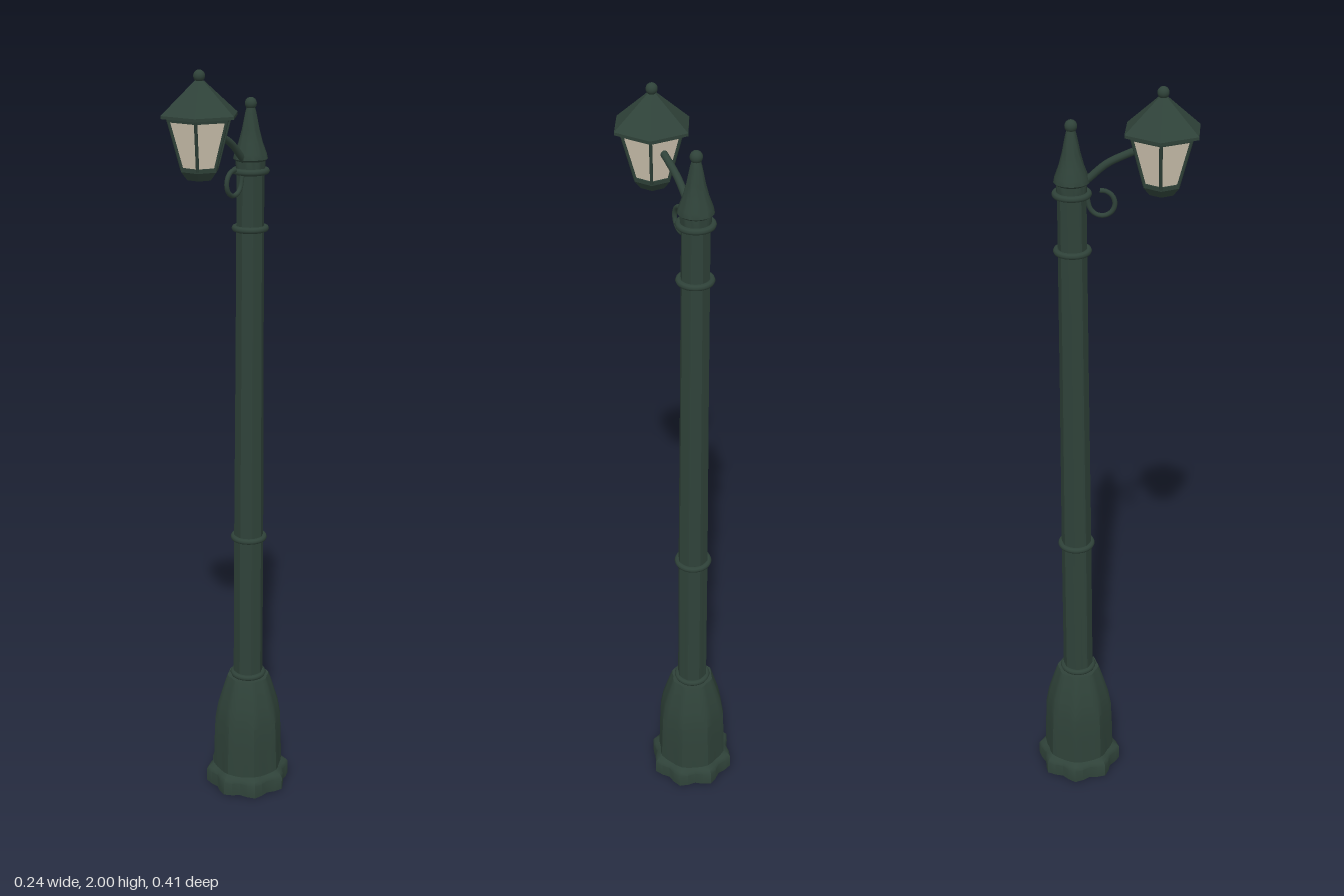
import * as THREE from 'three';
import { toCreasedNormals } from 'three/addons/utils/BufferGeometryUtils.js';

export function createModel() {
  const model = new THREE.Group();
  model.name = 'streetLamp';
  const iron = new THREE.MeshStandardMaterial({ color: 0x2f4239 });
  iron.name = 'dark green iron';
  const glass = new THREE.MeshStandardMaterial({ color: 0xd8cdb8, side: THREE.DoubleSide });
  glass.name = 'warm frosted glass';

  const post = new THREE.Group();
  post.name = 'post';
  post.position.z = -0.09;
  const lantern = new THREE.Group();
  lantern.name = 'lantern';
  lantern.position.z = 0.1215;
  model.add(post, lantern);

  const add = (parent, name, geometry, material = iron) => {
    const mesh = new THREE.Mesh(geometry, material);
    mesh.name = name;
    parent.add(mesh);
    return mesh;
  };

  // Turned part with eight flutes cut to the given depth
  const fluted = (name, profile, depth) => {
    const g = new THREE.LatheGeometry(profile.map(([r, y]) => new THREE.Vector2(r, y)), 32);
    const p = g.attributes.position;
    for (let i = 0; i < p.count; i++) {
      const a = Math.atan2(p.getX(i), p.getZ(i));
      const s = 1 - depth * (1 - Math.cos(8 * a)) / 2;
      p.setX(i, p.getX(i) * s);
      p.setZ(i, p.getZ(i) * s);
    }
    add(post, name, toCreasedNormals(g, 0.6));
  };

  // Six-sided part with corners pointing to the sides
  const hex = (name, top, bottom, y0, y1, material = iron, open = false) => {
    const g = new THREE.CylinderGeometry(top, bottom, y1 - y0, 6, 1, open, Math.PI / 6);
    g.translate(0, (y0 + y1) / 2, 0);
    add(lantern, name, toCreasedNormals(g, 0.6), material);
  };

  // Base and shaft
  fluted('plinth', [[0, 0], [0.118, 0], [0.118, 0.038], [0.112, 0.046], [0.098, 0.056]], 0.14);
  fluted('pedestal', [[0.098, 0.05], [0.096, 0.13], [0.093, 0.205], [0.085, 0.25],
    [0.073, 0.29], [0.062, 0.325], [0.058, 0.335], [0, 0.335]], 0.08);
  fluted('shaft', [[0.041, 0.33], [0.04, 0.76], [0.037, 1.25], [0.035, 1.75]], 0.08);

  // Collars around the shaft
  for (const [y, r] of [[0.342, 0.041], [0.755, 0.041], [1.597, 0.039], [1.74, 0.04]]) {
    const g = new THREE.TorusGeometry(r, 0.008, 8, 32);
    g.rotateX(Math.PI / 2);
    add(post, 'collar', g).position.y = y;
  }

  // Finial
  fluted('finial', [[0.036, 1.74], [0.037, 1.765], [0.043, 1.77], [0.04, 1.783],
    [0.03, 1.81], [0.022, 1.84], [0.014, 1.88], [0.01, 1.895]], 0);
  add(post, 'finialBall', new THREE.SphereGeometry(0.015, 16, 12)).position.y = 1.903;

  // Arm and the scroll beneath it
  const v = (y, z) => new THREE.Vector3(0, y, z);
  const arm = new THREE.CatmullRomCurve3([v(1.76, -0.07), v(1.778, -0.05), v(1.815, -0.008),
    v(1.84, 0.04), v(1.855, 0.075)]);
  add(model, 'arm', new THREE.TubeGeometry(arm, 20, 0.009, 10));
  const curl = [v(1.765, -0.065)];
  for (let i = 0; i <= 12; i++) {
    const a = 0.35 + i / 12 * 4.5;
    curl.push(v(1.719 - 0.031 * Math.sin(a), -0.019 - 0.031 * Math.cos(a)));
  }
  curl[0] = v(1.74, -0.055);
  add(model, 'scroll', new THREE.TubeGeometry(new THREE.CatmullRomCurve3(curl), 48, 0.006, 8));

  // Lantern body
  hex('lanternFoot', 0.048, 0.032, 1.748, 1.768);
  hex('lanternSill', 0.049, 0.048, 1.768, 1.778);
  hex('lanternGlass', 0.079, 0.044, 1.775, 1.893, glass, true);
  hex('lanternTopRail', 0.084, 0.082, 1.885, 1.895);
  hex('lanternEave', 0.098, 0.098, 1.893, 1.9);
  hex('lanternRoof', 0.012, 0.098, 1.9, 1.975);
  add(lantern, 'roofBall', new THREE.SphereGeometry(0.014, 16, 12)).position.y = 1.986;

  // Bars along the six glass corners
  const up = new THREE.Vector3(0, 1, 0);
  for (let i = 0; i < 6; i++) {
    const a = i * Math.PI / 3;
    const low = new THREE.Vector3(0.045 * Math.cos(a), 1.772, 0.045 * Math.sin(a));
    const high = new THREE.Vector3(0.08 * Math.cos(a), 1.893, 0.08 * Math.sin(a));
    const dir = high.clone().sub(low);
    const bar = add(lantern, 'cornerBar', new THREE.CylinderGeometry(0.004, 0.004, dir.length(), 8));
    bar.position.copy(low).add(high).multiplyScalar(0.5);
    bar.quaternion.setFromUnitVectors(up, dir.normalize());
  }
  return model;
}
